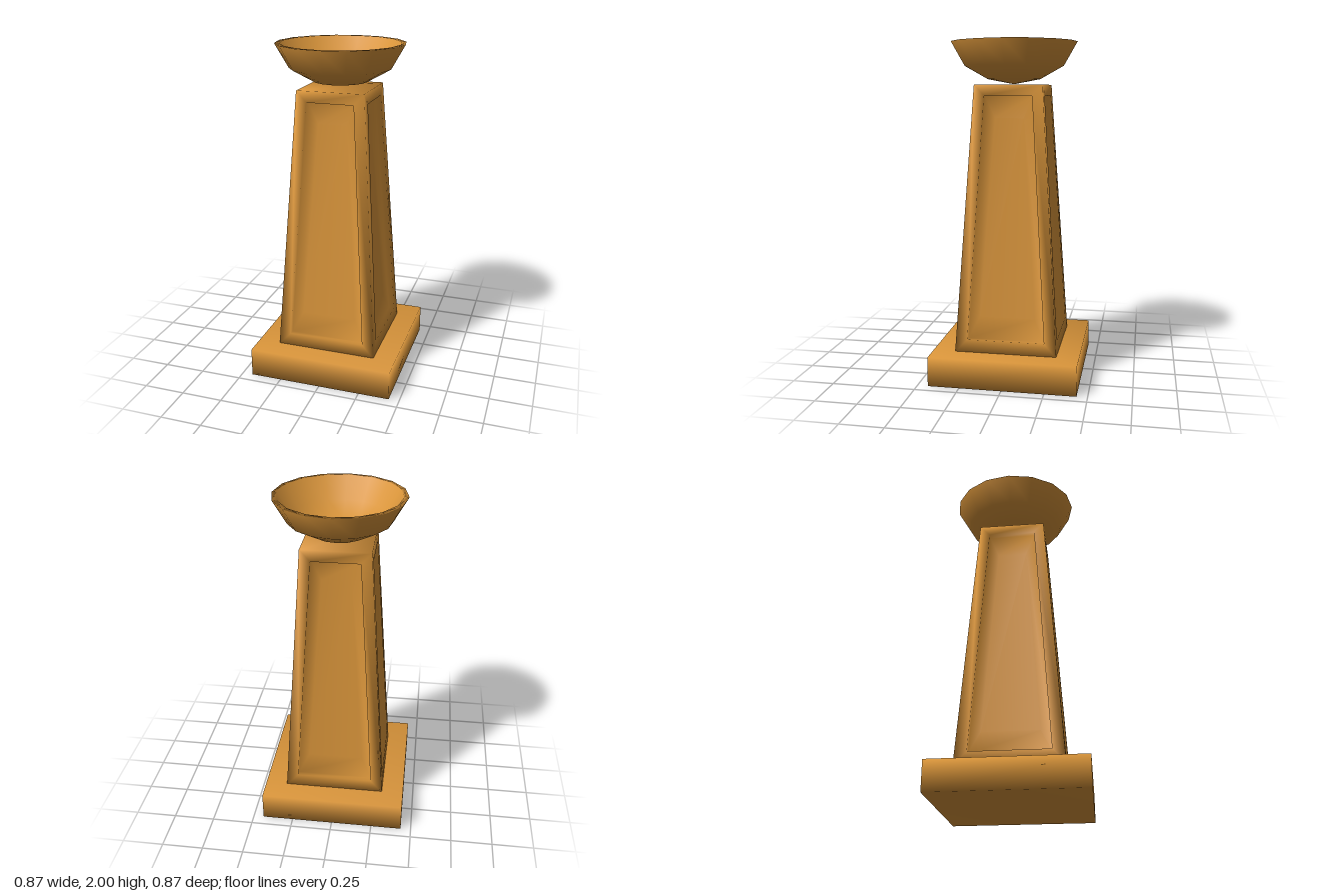
import * as THREE from 'three';
import { mergeVertices } from 'three/addons/utils/BufferGeometryUtils.js';

const material = new THREE.MeshStandardMaterial({ color: 0xd8943a });

// Weld corners so the shading rolls softly over every edge
function soften(geometry) {
  geometry.deleteAttribute('normal');
  geometry.deleteAttribute('uv');
  const welded = mergeVertices(geometry, 1e-4);
  welded.computeVertexNormals();
  return welded;
}

function part(name, geometry) {
  const mesh = new THREE.Mesh(geometry, material);
  mesh.name = name;
  return mesh;
}

// Tapered square column with a recessed panel in each of its four sides
function columnGeometry() {
  const y0 = 0.17, y1 = 1.75, h0 = 0.304, h1 = 0.2;
  const slope = (h0 - h1) / (y1 - y0);
  const half = (y) => h0 - (y - y0) * slope;
  const positions = [];
  const quad = (a, b, c, d) => [a, b, c, a, c, d].forEach((p) => positions.push(p.x, p.y, p.z));

  // Nested four-cornered loops: bottom, top, half widths and depth below the face
  const loops = [
    [y0, y1, h0, h1, 0],
    [0.25, 1.685, 0.23, 0.14, 0],
    [0.25, 1.685, 0.23, 0.14, 0.035],
    [0.38, 1.56, 0.165, 0.085, 0.055],
  ];
  const up = new THREE.Vector3(0, 1, 0);
  for (let side = 0; side < 4; side++) {
    const rings = loops.map(([bottom, top, wb, wt, depth]) =>
      [[-wb, bottom], [wb, bottom], [wt, top], [-wt, top]].map(([x, y]) =>
        new THREE.Vector3(x, y - depth * slope, half(y) - depth).applyAxisAngle(up, side * Math.PI / 2)));
    for (let r = 0; r < rings.length - 1; r++) {
      for (let i = 0; i < 4; i++) {
        const j = (i + 1) % 4;
        quad(rings[r][i], rings[r][j], rings[r + 1][j], rings[r + 1][i]);
      }
    }
    quad(...rings[rings.length - 1]);
  }

  // Top and bottom caps
  const cap = (y, h, s) => quad(...[[-1, 1], [1, 1], [1, -1], [-1, -1]].map(([x, z]) =>
    new THREE.Vector3(x * h, y, z * h * s)));
  cap(y1, h1, 1);
  cap(y0, h0, -1);

  const geometry = new THREE.BufferGeometry();
  geometry.setAttribute('position', new THREE.Float32BufferAttribute(positions, 3));
  return soften(geometry);
}

export function createModel() {
  const group = new THREE.Group();
  group.name = 'pedestalBowl';

  // Square foot slab
  const foot = part('base', soften(new THREE.BoxGeometry(0.874, 0.175, 0.874)));
  foot.position.y = 0.0875;
  group.add(foot);

  group.add(part('column', columnGeometry()));

  // Shallow bowl: outside from the bottom up, over the rim, down the inside
  const profile = [
    [0, 1.753], [0.16, 1.783], [0.298, 1.86], [0.378, 2],
    [0.35, 2], [0.275, 1.88], [0.148, 1.807], [0, 1.78],
  ].map(([r, y]) => new THREE.Vector2(r, y));
  group.add(part('bowl', new THREE.LatheGeometry(profile, 16)));

  return group;
}
